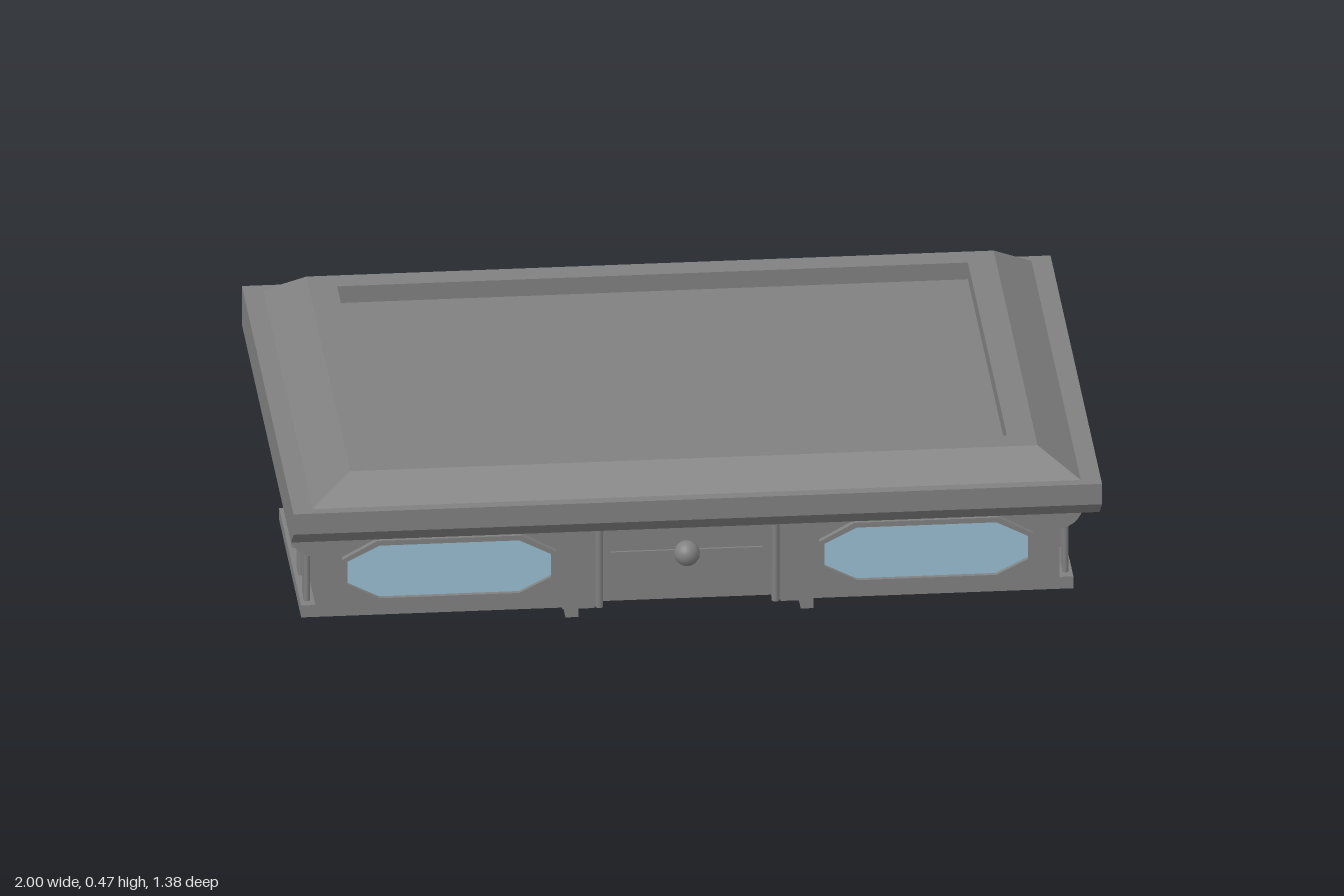
import * as THREE from 'three';

export function createModel() {
  const model = new THREE.Group();
  const hull = new THREE.MeshStandardMaterial({ color: 0x808080 });
  hull.name = 'hull grey';
  const glass = new THREE.MeshStandardMaterial({ color: 0x99bdd2 });
  glass.name = 'window blue';

  const add = (name, geo, x = 0, y = 0, z = 0, mat = hull) => {
    const mesh = new THREE.Mesh(geo, mat);
    mesh.name = name;
    mesh.position.set(x, y, z);
    model.add(mesh);
    return mesh;
  };
  // Box given by its limits on each axis
  const box = (name, x0, x1, y0, y1, z0, z1) =>
    add(name, new THREE.BoxGeometry(Math.abs(x1 - x0), y1 - y0, Math.abs(z1 - z0)),
      (x0 + x1) / 2, (y0 + y1) / 2, (z0 + z1) / 2);
  // Cylinder centred at a point, lying along the named axis
  const rod = (name, axis, r, len, x, y, z, sides = 20) => {
    const geo = new THREE.CylinderGeometry(r, r, len, sides);
    if (axis === 'x') geo.rotateZ(Math.PI / 2);
    if (axis === 'z') geo.rotateX(Math.PI / 2);
    return add(name, geo, x, y, z);
  };
  const extrude = (shape, depth) =>
    new THREE.ExtrudeGeometry(shape, { depth, bevelEnabled: false, curveSegments: 8 });
  const points = (list) => list.map(([x, y]) => new THREE.Vector2(x, y));
  const tube = (name, list, r) => add(name, new THREE.TubeGeometry(
    new THREE.CatmullRomCurve3(list.map((p) => new THREE.Vector3(...p)), false, 'catmullrom', 0.1), 48, r, 10));

  // Roof slab, chamfered under the front edge
  const slab = extrude(new THREE.Shape(points(
    [[-0.69, 0.3], [0.625, 0.3], [0.69, 0.35], [0.69, 0.405], [-0.69, 0.405]])), 2);
  slab.rotateY(-Math.PI / 2).translate(1, 0, 0);
  add('roofSlab', slab);

  // Sloped roof rim and recessed deck, from rectangular loops [half x, half z, y]
  const loops = [[0.95, 0.662, 0.405], [0.85, 0.588, 0.47], [0.78, 0.522, 0.47], [0.78, 0.522, 0.425]]
    .map(([x, z, y]) => [[-x, y, -z], [-x, y, z], [x, y, z], [x, y, -z]]);
  const verts = [];
  const quad = (a, b, c, d) => verts.push(...a, ...b, ...c, ...a, ...c, ...d);
  for (let i = 0; i < 3; i++) {
    for (let j = 0; j < 4; j++) {
      const k = (j + 1) % 4;
      quad(loops[i][j], loops[i][k], loops[i + 1][k], loops[i + 1][j]);
    }
  }
  quad(...loops[3]);
  const rim = new THREE.BufferGeometry();
  rim.setAttribute('position', new THREE.Float32BufferAttribute(verts, 3));
  rim.computeVertexNormals();
  add('roofRim', rim);

  // Body core, with front and back walls notched for the doors
  box('bodyCore', -0.92, 0.92, 0, 0.3, -0.48, 0.38);
  const wall = new THREE.Shape();
  wall.moveTo(-0.92, 0).lineTo(-0.21, 0).lineTo(-0.21, 0.215);
  wall.quadraticCurveTo(-0.21, 0.26, -0.165, 0.26).lineTo(0.165, 0.26);
  wall.quadraticCurveTo(0.21, 0.26, 0.21, 0.215).lineTo(0.21, 0);
  wall.lineTo(0.92, 0).lineTo(0.92, 0.3).lineTo(-0.92, 0.3);
  add('frontWall', extrude(wall, 0.03), 0, 0, 0.38);
  add('backWall', extrude(wall, 0.03), 0, 0, -0.51);

  // Doors: arched trim, centre seam and round handle
  for (const [side, face, door] of [['front', 0.412, 0.38], ['back', -0.512, -0.48]]) {
    const out = Math.sign(face);
    tube(side + 'DoorTrim', [[-0.218, 0, face], [-0.218, 0.22, face], [-0.205, 0.255, face],
      [-0.17, 0.268, face], [0.17, 0.268, face], [0.205, 0.255, face], [0.218, 0.22, face], [0.218, 0, face]], 0.01);
    box(side + 'DoorSeam', -0.19, 0.19, 0.127, 0.133, door, door + out * 0.006);
    rod(side + 'HandleStem', 'z', 0.018, 0.03, 0, 0.13, door + out * 0.01);
    add(side + 'DoorHandle', new THREE.SphereGeometry(0.032, 20, 12), 0, 0.13, door + out * 0.02);
  }

  // Elongated eight-sided window outline
  const outline = (inset) => {
    const w = 0.265 - inset, t = 0.178 - inset * 0.4, h = 0.084 - inset, e = 0.036 - inset * 0.4;
    return points([[-w, -e], [-t, -h], [t, -h], [w, -e], [w, e], [t, h], [-t, h], [-w, e]]);
  };
  const frame = new THREE.Shape(outline(0));
  frame.holes.push(new THREE.Path(outline(0.013)));
  const frameGeo = extrude(frame, 0.016);
  const glassGeo = new THREE.ShapeGeometry(new THREE.Shape(outline(0.012)));

  // Side profile of the vertical tanks, with raised bands
  const tankGeo = new THREE.LatheGeometry(points([[0, 0.008], [0.055, 0.008], [0.055, 0.02], [0.073, 0.02],
    [0.073, 0.042], [0.064, 0.045], [0.064, 0.058], [0.073, 0.061], [0.073, 0.09], [0.064, 0.093],
    [0.064, 0.105], [0.073, 0.108], [0.073, 0.128], [0.06, 0.137], [0, 0.137]]), 28).toNonIndexed();
  tankGeo.computeVertexNormals();

  for (const s of [1, -1]) {
    // Front windows with the roller bar above each
    add('windowFrame', frameGeo, s * 0.59, 0.122, 0.41);
    add('windowGlass', glassGeo, s * 0.59, 0.122, 0.414, glass);
    rod('rollerBar', 'x', 0.014, 0.5, s * 0.6, 0.25, 0.42);
    for (const dx of [-1, 1]) {
      rod('rollerEnd', 'x', 0.026, 0.07, s * 0.6 + dx * 0.222, 0.25, 0.415);
      rod('rollerCollar', 'x', 0.02, 0.1, s * 0.6 + dx * 0.205, 0.25, 0.415);
    }

    // Buttress fins flanking the doors
    box('frontFin', s * 0.275, s * 0.307, 0, 0.27, 0.4, 0.47);
    box('frontPilaster', s * 0.23, s * 0.31, 0, 0.295, 0.4, 0.42);
    box('backFin', s * 0.245, s * 0.27, 0, 0.295, -0.56, -0.5);
    box('backPilaster', s * 0.23, s * 0.3, 0, 0.295, -0.525, -0.5);

    // Side ledge with paired drums on slim legs
    box('sideLedge', s * 0.9, s * 0.955, 0, 0.032, -0.18, 0.41);
    for (const z of [0.278, -0.042]) {
      rod('drumCore', 'z', 0.052, 0.2, s * 0.916, 0.22, z, 28);
      for (const d of [-0.014, 0.014]) rod('drumRing', 'z', 0.06, 0.012, s * 0.916, 0.22, z + d, 28);
      for (const d of [-1, 1]) {
        rod('sideDrum', 'z', 0.065, 0.09, s * 0.916, 0.22, z + d * 0.072, 28);
        for (const k of [-0.022, 0, 0.022]) {
          rod('drumLeg', 'y', 0.008, 0.17, s * 0.938, 0.11, z + d * 0.077 + k, 10);
        }
      }
    }

    // Back tank with neck, valve and bolts
    const tx = s * 0.45;
    add('backTank', tankGeo, tx, 0, -0.54);
    rod('tankNeck', 'y', 0.03, 0.08, tx, 0.165, -0.55);
    rod('valveStem', 'y', 0.018, 0.11, tx, 0.225, -0.578);
    rod('valveHub', 'z', 0.027, 0.06, tx, 0.235, -0.58);
    for (const y of [0.047, 0.097]) rod('tankBolt', 'z', 0.008, 0.03, tx, y, -0.606, 10);

    // Back equipment panel with chamfered lower edge and louvres
    const panel = extrude(new THREE.Shape(points(
      [[-0.5, 0.145], [-0.5, 0.295], [-0.53, 0.295], [-0.53, 0.175], [-0.51, 0.145]])), 0.53);
    panel.rotateY(-Math.PI / 2).translate(s * 0.61 + 0.265, 0, 0);
    add('equipmentPanel', panel);
    for (let i = 0; i < 3; i++) {
      box('panelLouvre', s * 0.36, s * 0.87, 0.185 + i * 0.035, 0.2 + i * 0.035, -0.545, -0.52);
    }

    // Header pipe with upright couplings, and looped pipes below
    rod('headerPipe', 'x', 0.014, 0.5, s * 0.62, 0.24, -0.565);
    for (const x of [0.55, 0.85]) rod('pipeCoupling', 'y', 0.022, 0.08, s * x, 0.235, -0.566);
    for (const d of [0, 0.032]) {
      const x0 = s * 0.5, x1 = s * (0.88 - d), y0 = 0.05 + d, z = -0.53;
      tube('loopPipe', [[x0, y0, z], [x1 - s * 0.02, y0, z], [x1, y0 + 0.02, z],
        [x1, 0.19, z]], 0.011);
    }
  }
  return model;
}
